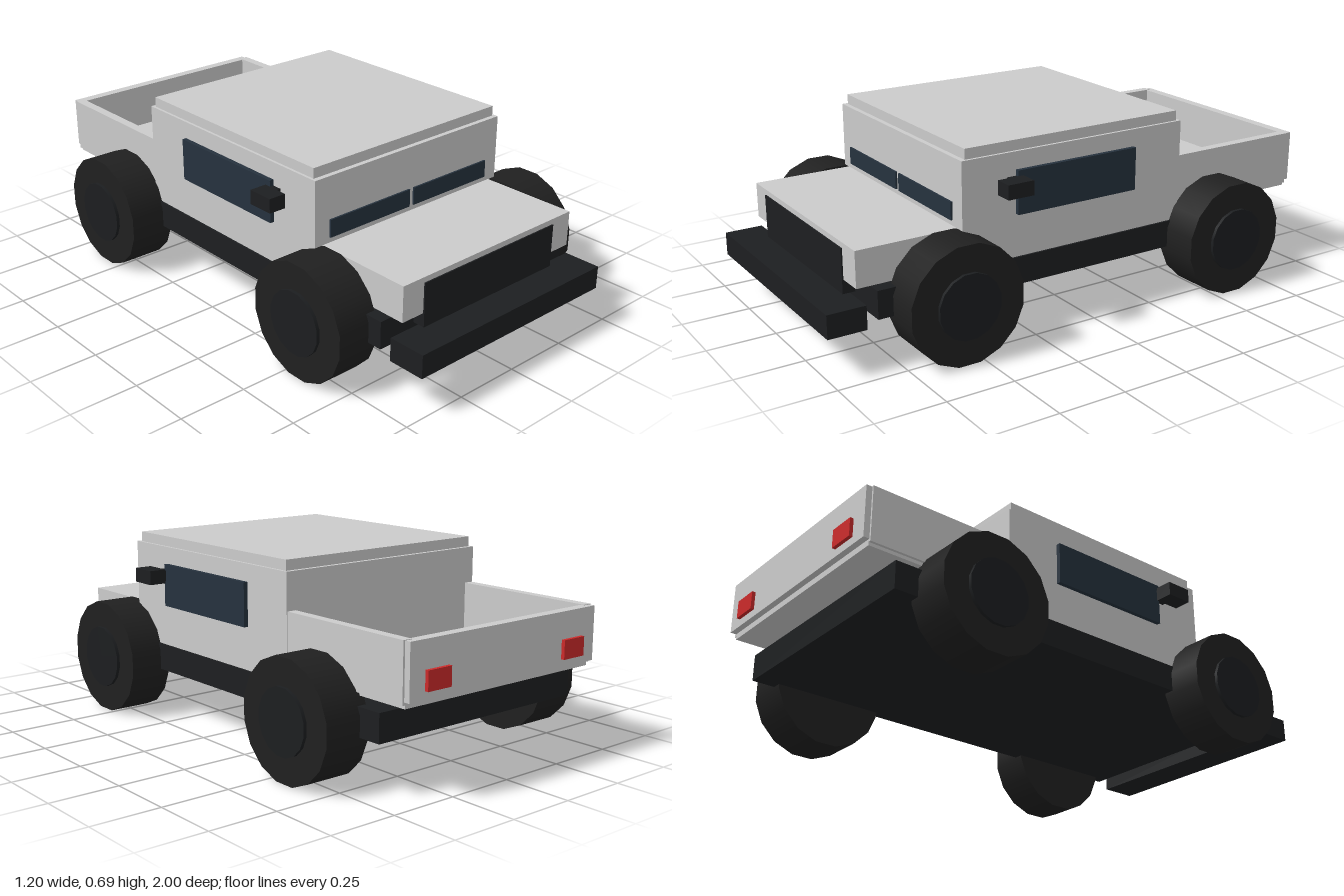
import * as THREE from 'three';

const material = (color) => new THREE.MeshStandardMaterial({ color });

export function createModel() {
  const truck = new THREE.Group();
  truck.name = 'pickupTruck';

  const body = material(0xcccccc);
  const trim = material(0x1d1f21);
  const rubber = material(0x202020);
  const hubcap = material(0x1c1e20);
  const glass = material(0x26323e);
  const red = material(0xcc2a2a);

  // Box given by its extents along each axis
  const box = (name, mat, [x0, x1], [y0, y1], [z0, z1]) => {
    const mesh = new THREE.Mesh(new THREE.BoxGeometry(x1 - x0, y1 - y0, z1 - z0), mat);
    mesh.position.set((x0 + x1) / 2, (y0 + y1) / 2, (z0 + z1) / 2);
    mesh.name = name;
    truck.add(mesh);
  };
  const centred = (name, mat, halfWidth, y, z) => box(name, mat, [-halfWidth, halfWidth], y, z);
  // The same box on both sides of the truck
  const pair = (name, mat, [x0, x1], y, z) => {
    box(name + 'Left', mat, [x0, x1], y, z);
    box(name + 'Right', mat, [-x1, -x0], y, z);
  };

  // Chassis, bumper and front end
  centred('chassis', trim, 0.45, [0.18, 0.28], [-0.875, 0.825]);
  centred('frontBumper', trim, 0.44, [0.15, 0.235], [0.86, 1]);
  centred('hood', body, 0.41, [0.285, 0.415], [0.5, 0.88]);
  centred('grille', trim, 0.317, [0.235, 0.395], [0.84, 0.885]);

  // Cabin and roof
  centred('cabin', body, 0.443, [0.28, 0.655], [-0.415, 0.505]);
  centred('roof', body, 0.433, [0.655, 0.692], [-0.4, 0.487]);

  // Windows and mirrors
  pair('windshield', glass, [0.01, 0.38], [0.435, 0.5], [0.495, 0.512]);
  pair('sideWindow', glass, [0.435, 0.459], [0.435, 0.592], [-0.2, 0.295]);
  pair('mirrorArm', trim, [0.44, 0.48], [0.53, 0.57], [0.285, 0.33]);
  pair('mirror', trim, [0.465, 0.53], [0.523, 0.575], [0.28, 0.38]);

  // Cargo bed, open at the top
  centred('bedFloor', body, 0.43, [0.308, 0.35], [-0.965, -0.41]);
  pair('bedWall', body, [0.405, 0.44], [0.32, 0.522], [-0.965, -0.41]);
  centred('tailgate', body, 0.433, [0.33, 0.52], [-0.987, -0.95]);
  pair('tailLight', red, [0.267, 0.368], [0.358, 0.425], [-1, -0.98]);

  // Wheels: sixteen-sided tyre with a thin hub disc on the outside
  const addWheel = (name, side, z, outer) => {
    const wheel = new THREE.Group();
    wheel.name = name;
    const disc = (part, mat, radius, x0, x1) => {
      const geo = new THREE.CylinderGeometry(radius, radius, x1 - x0, 16);
      geo.rotateY(Math.PI / 16).rotateZ(Math.PI / 2);
      const mesh = new THREE.Mesh(geo, mat);
      mesh.position.x = side * (x0 + x1) / 2;
      mesh.name = part;
      wheel.add(mesh);
    };
    disc('tyre', rubber, 0.214, 0.415, outer);
    disc('hub', hubcap, 0.117, outer - 0.02, outer + 0.012);
    wheel.position.set(0, 0.21, z);
    truck.add(wheel);
  };
  for (const side of [1, -1]) {
    const suffix = side > 0 ? 'Left' : 'Right';
    addWheel('frontWheel' + suffix, side, 0.56, 0.574);
    addWheel('rearWheel' + suffix, side, -0.577, 0.586);
  }

  return truck;
}
